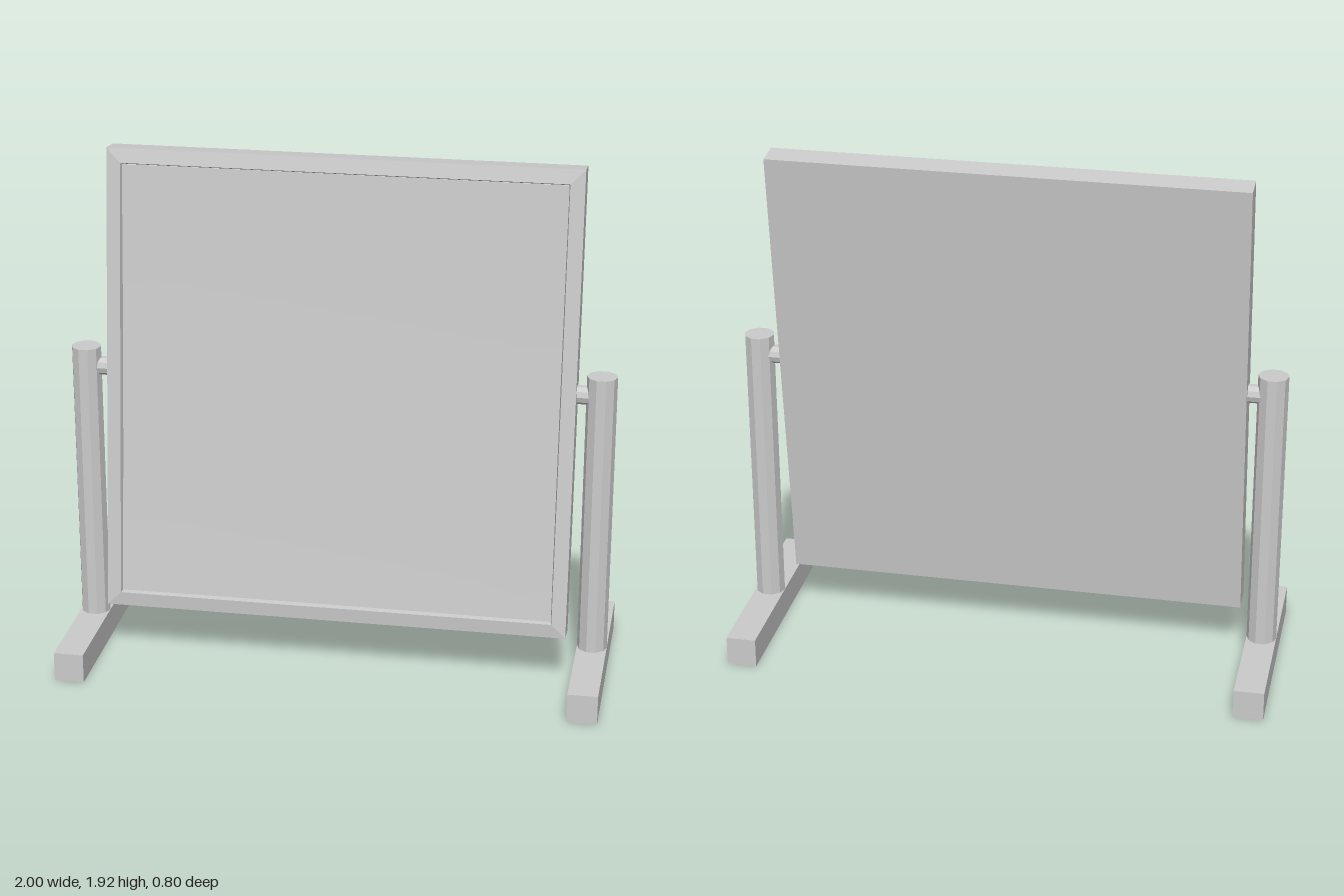
import * as THREE from 'three';

const material = new THREE.MeshStandardMaterial({ color: 0xcccccc, flatShading: true });
const smooth = new THREE.MeshStandardMaterial({ color: 0xcccccc });

function part(name, geometry, parent, mat = material) {
  const mesh = new THREE.Mesh(geometry, mat);
  mesh.name = name;
  parent.add(mesh);
  return mesh;
}

// Square frame: a four-sided lathe with a raised inner lip and closed back
function frameGeometry() {
  const profile = [[0, -0.0475], [0.857, -0.0475], [0.857, 0.0475], [0.805, 0.0565], [0.798, 0.028]]
    .map(([r, h]) => new THREE.Vector2(r * Math.SQRT2, h));
  return new THREE.LatheGeometry(profile, 4)
    .rotateY(Math.PI / 4)
    .rotateX(Math.PI / 2)
    .scale(1, 1.004, 1);
}

// Slightly dished mirror surface
function mirrorGeometry() {
  const half = 0.802;
  const geometry = new THREE.PlaneGeometry(half * 2, half * 2, 12, 12);
  const p = geometry.attributes.position;
  for (let i = 0; i < p.count; i++) {
    const u = p.getX(i) / half, v = p.getY(i) / half;
    p.setZ(i, 0.03 + 0.006 * (u * u + v * v));
  }
  geometry.computeVertexNormals();
  return geometry;
}

export function createModel() {
  const model = new THREE.Group();
  model.name = 'tiltingMirror';

  // Tilted mirror panel
  const panel = new THREE.Group();
  panel.name = 'mirrorPanel';
  panel.position.set(0, 1.055, 0.004);
  panel.rotation.x = -0.1135;
  model.add(panel);
  part('mirrorFrame', frameGeometry(), panel);
  part('mirrorSurface', mirrorGeometry(), panel, smooth);

  // Stand on each side: foot, post and pivot pin
  for (const [side, s] of [['left', 1], ['right', -1]]) {
    const stand = new THREE.Group();
    stand.name = side + 'Stand';
    model.add(stand);

    part(side + 'Foot', new THREE.BoxGeometry(0.11, 0.11, 0.8), stand)
      .position.set(s * 0.945, 0.055, 0);

    const post = new THREE.CylinderGeometry(0.055, 0.055, 1.07, 10).rotateY(Math.PI / 2);
    part(side + 'Post', post, stand).position.set(s * 0.945, 0.64, 0);

    const pin = new THREE.CylinderGeometry(0.034, 0.034, 0.11, 10).rotateZ(Math.PI / 2);
    part(side + 'PivotPin', pin, stand).position.set(s * 0.89, 1.1, -0.002);
  }
  return model;
}
